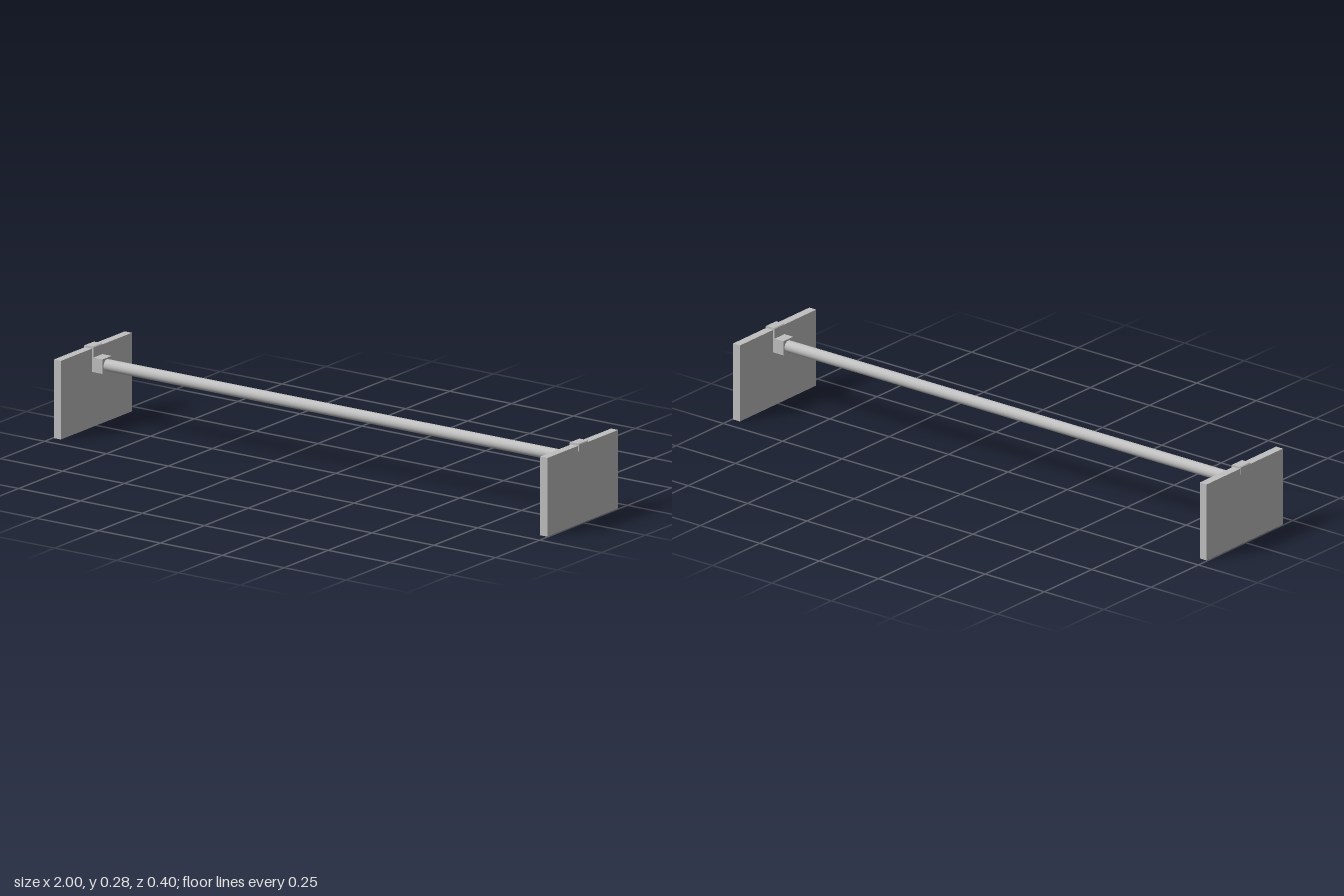
import * as THREE from 'three';

export function createModel() {
  const model = new THREE.Group();
  const grey = new THREE.MeshStandardMaterial({ color: 0xc0c0c0 });
  grey.name = 'grey metal';

  const add = (parent, name, geometry, x, y, z) => {
    const mesh = new THREE.Mesh(geometry, grey);
    mesh.name = name;
    mesh.position.set(x, y, z);
    parent.add(mesh);
  };

  // Hook section: short outer lip, top bridge, long inner strip
  const hookShape = new THREE.Shape([
    [1, 0.25], [1, 0.274], [0.997, 0.277], [0.965, 0.277], [0.962, 0.274],
    [0.962, 0.19], [0.968, 0.19], [0.968, 0.27], [0.997, 0.27], [0.997, 0.25],
  ].map(([x, y]) => new THREE.Vector2(x, y)));
  const hookWidth = 0.052;
  const hookGeometry = new THREE.ExtrudeGeometry(hookShape, { depth: hookWidth, bevelEnabled: false });

  // Both ends are the same, turned half round
  for (const [name, angle] of [['leftEnd', 0], ['rightEnd', Math.PI]]) {
    const end = new THREE.Group();
    end.name = name;
    end.rotation.y = angle;
    add(end, 'sidePanel', new THREE.BoxGeometry(0.029, 0.27, 0.404), 0.9825, 0.135, 0);
    add(end, 'hook', hookGeometry, 0, 0, -hookWidth / 2);
    add(end, 'rodSocket', new THREE.BoxGeometry(0.037, 0.05, hookWidth), 0.9435, 0.215, 0);
    model.add(end);
  }

  // Rod spanning the two sockets
  const rod = new THREE.CylinderGeometry(0.02, 0.02, 1.88, 32);
  rod.rotateZ(Math.PI / 2);
  add(model, 'rod', rod, 0, 0.215, 0);

  return model;
}
